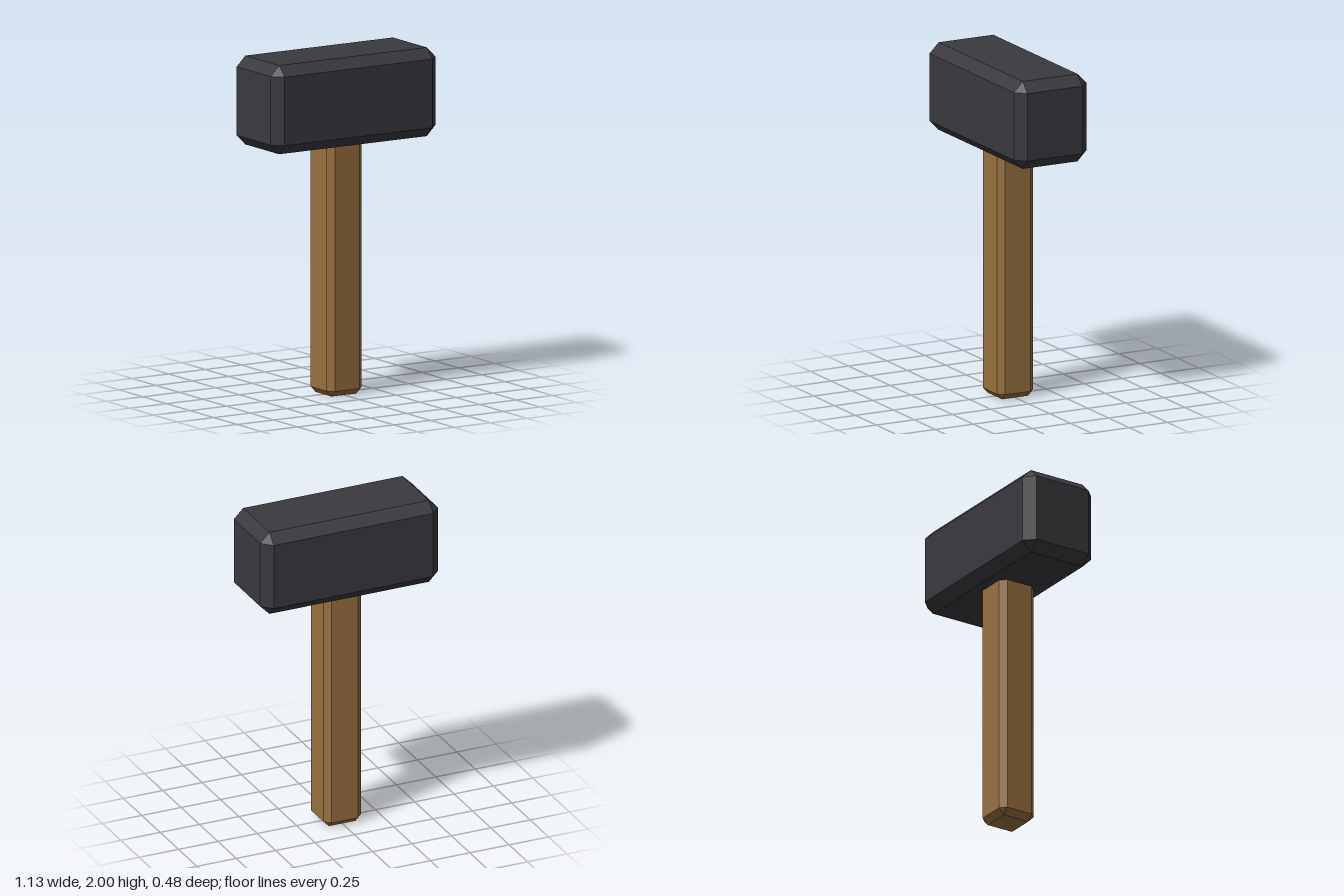
import * as THREE from 'three';
import { ConvexGeometry } from 'three/addons/geometries/ConvexGeometry.js';

// Box with every edge cut flat at 45 degrees by c
function chamferedBox(w, h, d, c) {
  const half = [w / 2, h / 2, d / 2];
  const points = [];
  for (const sx of [-1, 1]) for (const sy of [-1, 1]) for (const sz of [-1, 1]) {
    // each corner becomes three points, one on each adjoining face
    for (let face = 0; face < 3; face++) {
      const [x, y, z] = half.map((v, axis) => (axis === face ? v : v - c));
      points.push(new THREE.Vector3(sx * x, sy * y, sz * z));
    }
  }
  return new ConvexGeometry(points);
}

export function createModel() {
  const iron = new THREE.MeshStandardMaterial({ color: 0x3a393f });
  iron.name = 'dark iron';
  const wood = new THREE.MeshStandardMaterial({ color: 0x9a7140 });
  wood.name = 'brown wood';

  const group = new THREE.Group();
  group.name = 'hammer';

  // Heavy block head
  const head = new THREE.Mesh(chamferedBox(1.13, 0.52, 0.476, 0.059), iron);
  head.name = 'head';
  head.position.y = 1.74;

  // Square handle, its top end set into the head
  const handle = new THREE.Mesh(chamferedBox(0.238, 1.56, 0.238, 0.035), wood);
  handle.name = 'handle';
  handle.position.y = 0.78;

  group.add(head, handle);
  return group;
}
